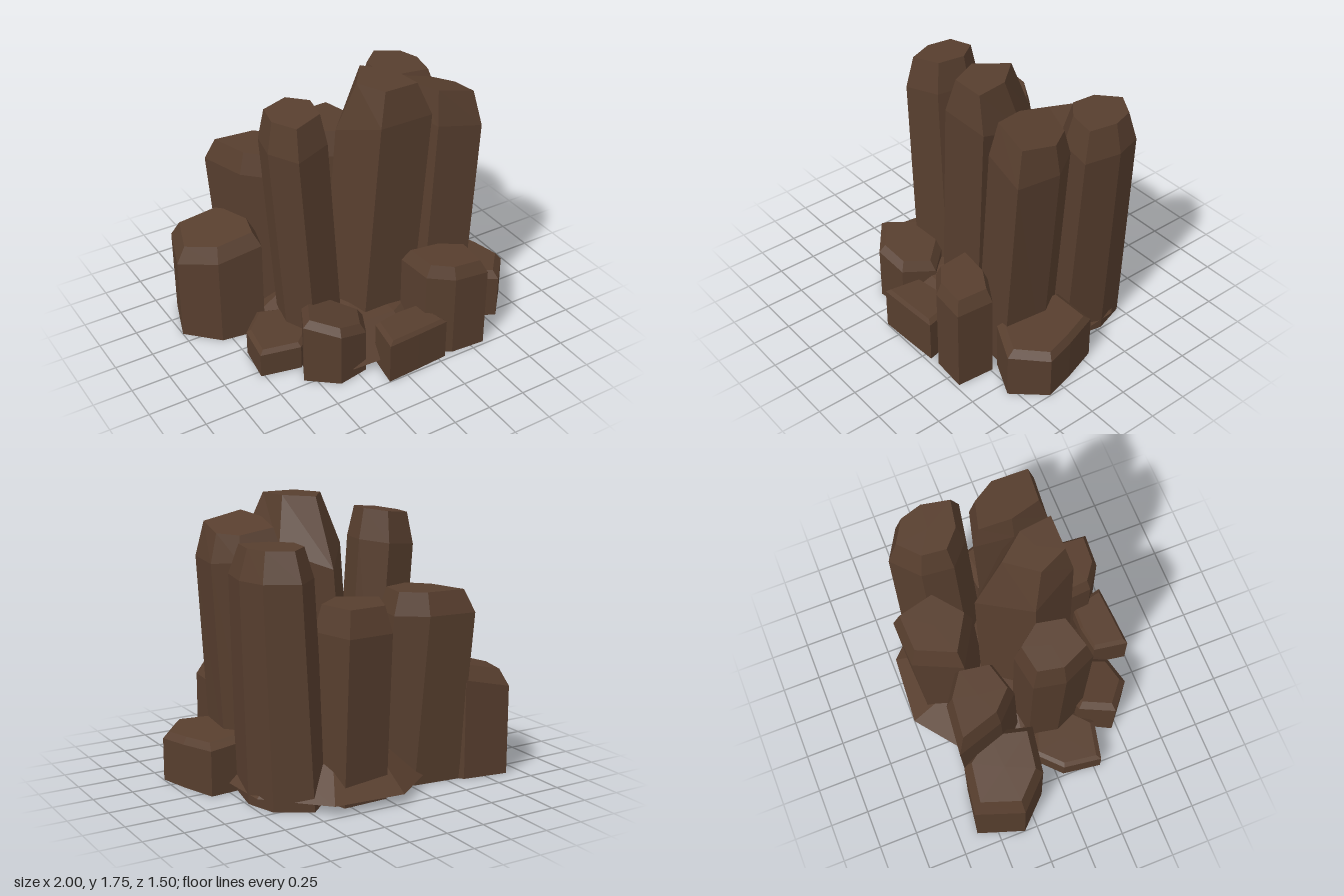
import * as THREE from 'three';

const rock = new THREE.MeshStandardMaterial({ color: 0x573e2e, flatShading: true });
rock.name = 'brown rock';

// Skin a stack of equal-length rings (bottom to top) and close both ends.
function skin(name, rings) {
  const n = rings[0].length;
  const points = [];
  const centre = (ring) => ring.reduce((sum, p) => sum.add(p), new THREE.Vector3()).divideScalar(n);
  const low = rings[0], high = rings[rings.length - 1];
  const lowMid = centre(low), highMid = centre(high);
  for (let i = 0; i < n; i++) {
    const j = (i + 1) % n;
    for (let r = 0; r + 1 < rings.length; r++) {
      const a = rings[r], b = rings[r + 1];
      points.push(a[i], b[j], a[j], a[i], b[i], b[j]);
    }
    points.push(lowMid, low[i], low[j], highMid, high[j], high[i]);
  }
  const geometry = new THREE.BufferGeometry().setFromPoints(points);
  geometry.computeVertexNormals();
  const mesh = new THREE.Mesh(geometry, rock);
  mesh.name = name;
  return mesh;
}

// Irregular polygon at height y: one radius per corner, evenly spaced from yaw degrees.
function ring({ at, radii, yaw }, y, scale = 1, shift = [0, 0], slope = [0, 0]) {
  return radii.map((radius, i) => {
    const t = THREE.MathUtils.degToRad(yaw + (360 * i) / radii.length);
    const x = radius * scale * Math.cos(t), z = radius * scale * Math.sin(t);
    return new THREE.Vector3(at[0] + x + shift[0], y + x * slope[0] + z * slope[1], at[1] + z + shift[1]);
  });
}

// Leaning prism: foot on the ground, tilted shoulder, then a bevel up to a tilted cap.
function column(name, shape) {
  const { shoulder, cap, inset = 0.8, foot = [0, 0], footScale = 1, capShift, slope, capSlope = slope } = shape;
  return skin(name, [
    ring(shape, 0, footScale, foot),
    ring(shape, shoulder, 1, [0, 0], slope),
    ring(shape, cap, inset, capShift, capSlope),
  ]);
}

// Rough mound joining the columns: underside, sharp rim, sloping top.
function mound() {
  const shape = { at: [0.05, -0.05], yaw: 10, radii: [0.72, 0.65, 0.67, 0.73, 0.62, 0.66, 0.62, 0.71, 0.76, 0.76] };
  return skin('baseMound', [ring(shape, 0.02, 0.85), ring(shape, 0.06), ring(shape, 0.23, 0.7), ring(shape, 0.28, 0.35)]);
}

export function createModel() {
  const group = new THREE.Group();
  group.name = 'rockColumnCluster';
  group.add(
    mound(),
    // tall columns
    column('tallestColumn', { at: [0.16, 0.13], yaw: -97, radii: [0.35, 0.2, 0.325, 0.27, 0.27],
      shoulder: 1.45, cap: 1.745, inset: 0.62, slope: [0, 0.35], capSlope: [0, 0], foot: [-0.1, -0.02], capShift: [0, 0.05] }),
    column('tallLeftColumn', { at: [0.557, 0.13], yaw: 58, radii: [0.32, 0.27, 0.18, 0.285, 0.2, 0.2],
      shoulder: 1.41, cap: 1.59, slope: [-0.2, 0], capSlope: [-0.25, 0.17], foot: [-0.09, 0.02] }),
    column('tallRightColumn', { at: [-0.39, 0.05], yaw: 49, radii: [0.225, 0.25, 0.175, 0.205, 0.205, 0.19],
      shoulder: 1.43, cap: 1.625, slope: [0.12, 0], foot: [0.09, 0.02] }),
    column('backLeftColumn', { at: [0.58, -0.33], yaw: 57, radii: [0.3, 0.22, 0.23, 0.23, 0.27, 0.22, 0.21],
      shoulder: 1.345, cap: 1.525, inset: 0.76, foot: [-0.07, 0.02], footScale: 1.1 }),
    // middle columns
    column('backColumn', { at: [0.14, -0.48], yaw: 90, radii: [0.25, 0.29, 0.245, 0.26, 0.235],
      shoulder: 1.02, cap: 1.18, foot: [0, 0.05] }),
    column('backRightColumn', { at: [-0.37, -0.38], yaw: 40, radii: [0.23, 0.21, 0.19, 0.355, 0.2, 0.225],
      shoulder: 1.06, cap: 1.2, foot: [0.06, 0.05] }),
    // short columns around the edge
    column('outerRightColumn', { at: [-0.71, -0.36], yaw: 55, radii: [0.315, 0.24, 0.29, 0.33, 0.25, 0.25],
      shoulder: 0.61, cap: 0.705, slope: [0.22, 0] }),
    column('frontLeftColumn', { at: [0.4, 0.55], yaw: 43, radii: [0.26, 0.165, 0.19, 0.275, 0.17, 0.22],
      shoulder: 0.55, cap: 0.63, slope: [-0.05, 0] }),
    column('frontRightColumn', { at: [-0.32, 0.42], yaw: -10, radii: [0.226, 0.2, 0.2, 0.25, 0.215, 0.22],
      shoulder: 0.33, cap: 0.38, slope: [-0.3, 0] }),
    column('outerLeftColumn', { at: [0.78, 0.23], yaw: 30, radii: [0.25, 0.32, 0.28, 0.23, 0.33, 0.31, 0.18],
      shoulder: 0.29, cap: 0.33, inset: 0.84, slope: [-0.1, 0] }),
    column('frontColumn', { at: [0.083, 0.61], yaw: 27, radii: [0.245, 0.125, 0.25, 0.195, 0.115, 0.2],
      shoulder: 0.27, cap: 0.295, inset: 0.86 }),
    column('lowRightColumn', { at: [-0.55, 0.12], yaw: 22, radii: [0.215, 0.23, 0.28, 0.2, 0.225, 0.23],
      shoulder: 0.16, cap: 0.18, inset: 0.86 }),
  );
  return group;
}
